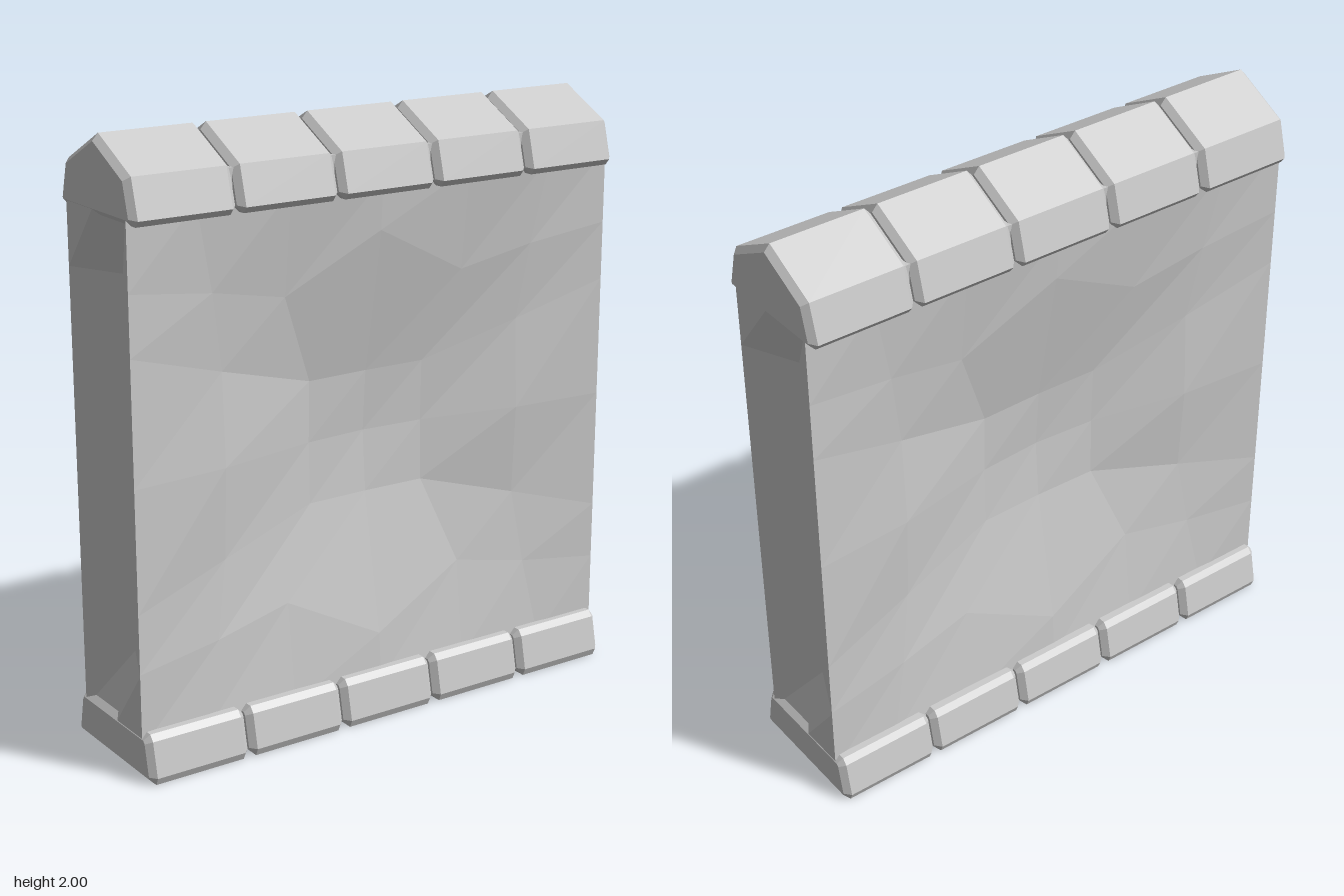
import * as THREE from 'three';

const material = new THREE.MeshStandardMaterial({ color: 0xcccccc, flatShading: true });
const HALF_LENGTH = 0.905, HALF_DEPTH = 0.185, MID_Y = 0.955;

function addMesh(parent, geometry, name) {
  const mesh = new THREE.Mesh(geometry, material);
  mesh.name = name;
  parent.add(mesh);
  return mesh;
}

// Faceted sheet through a grid of [x, y, z] points, rows running upwards
function sheet(rows) {
  const columns = rows[0].length, index = [];
  for (let j = 0; j < rows.length - 1; j++) {
    for (let i = 0; i < columns - 1; i++) {
      const a = j * columns + i, d = a + columns;
      index.push(a, a + 1, d + 1, a, d + 1, d);
    }
  }
  const indexed = new THREE.BufferGeometry();
  indexed.setAttribute('position', new THREE.Float32BufferAttribute(rows.flat(2), 3));
  indexed.setIndex(index);
  const geometry = indexed.toNonIndexed();
  geometry.computeVertexNormals();
  return geometry;
}

// Hollowed face: one quarter as [x, height above middle, inset], mirrored both ways
function hollowFace() {
  const quarter = [
    [[0, 0, 0.11], [0.22, 0, 0.095], [0.57, 0, 0.025], [HALF_LENGTH, 0, 0]],
    [[0, 0.205, 0.095], [0.22, 0.205, 0.09], [0.57, 0.305, 0.04], [HALF_LENGTH, 0.405, 0]],
    [[0, 0.68, 0.01], [0.34, 0.505, 0.04], [0.61, 0.56, 0.02], [HALF_LENGTH, 0.6, 0]],
    [[0, 0.845, 0], [0.34, 0.845, 0], [0.67, 0.845, 0], [HALF_LENGTH, 0.845, 0]],
  ];
  const steps = [-3, -2, -1, 0, 1, 2, 3];
  return sheet(steps.map((j) => steps.map((i) => {
    const [x, h, inset] = quarter[Math.abs(j)][Math.abs(i)];
    return [Math.sign(i) * x, MID_Y + Math.sign(j) * h, HALF_DEPTH - inset];
  })));
}

// Wall end with a shallow V groove that runs out at top and bottom
function groovedEnd() {
  const levels = [[0.11, 0], [0.35, 0.085], [1.57, 0.085], [1.8, 0]];
  return sheet(levels.map(([y, groove]) => [
    [HALF_LENGTH, y, HALF_DEPTH],
    [HALF_LENGTH - groove, y, 0],
    [HALF_LENGTH, y, -HALF_DEPTH],
  ]));
}

// Chamfered stone from half a [z, y] profile listed from bottom to top
function stone(halfProfile) {
  const length = 0.358, bevel = 0.02;
  const left = halfProfile.filter(([z]) => z > 0).map(([z, y]) => [-z, y]).reverse();
  const shape = new THREE.Shape([...halfProfile, ...left].map(([z, y]) => new THREE.Vector2(z, y)));
  const geometry = new THREE.ExtrudeGeometry(shape, {
    depth: length - 2 * bevel, bevelEnabled: true, bevelSegments: 1,
    bevelSize: bevel, bevelThickness: bevel, bevelOffset: -bevel,
  });
  geometry.translate(0, 0, bevel - length / 2);
  return geometry.rotateY(Math.PI / 2);
}

// Five stones in a row around a core that fills the joints
function course(name, halfProfile, coreBottom, coreTop) {
  const group = new THREE.Group();
  group.name = name;
  const geometry = stone(halfProfile);
  for (let i = -2; i <= 2; i++) addMesh(group, geometry, 'stone').position.x = i * 0.364;
  const core = new THREE.BoxGeometry(1.78, coreTop - coreBottom, 0.36);
  addMesh(group, core, 'jointCore').position.y = (coreBottom + coreTop) / 2;
  return group;
}

export function createModel() {
  const model = new THREE.Group();
  model.name = 'wallSegment';

  // Wall body: two hollowed faces and two grooved ends
  const wall = new THREE.Group();
  wall.name = 'wall';
  const face = hollowFace(), end = groovedEnd();
  addMesh(wall, face, 'frontFace');
  addMesh(wall, face, 'backFace').rotation.y = Math.PI;
  addMesh(wall, end, 'leftEnd');
  addMesh(wall, end, 'rightEnd').rotation.y = Math.PI;
  model.add(wall);

  // Ridged coping stones and flared footing stones
  model.add(course('coping', [[0.21, 1.755], [0.226, 1.775], [0.192, 1.9], [0, 2]], 1.765, 1.89));
  model.add(course('footing', [[0.235, 0], [0.246, 0.025], [0.222, 0.14], [0.205, 0.16]], 0.02, 0.14));
  return model;
}
